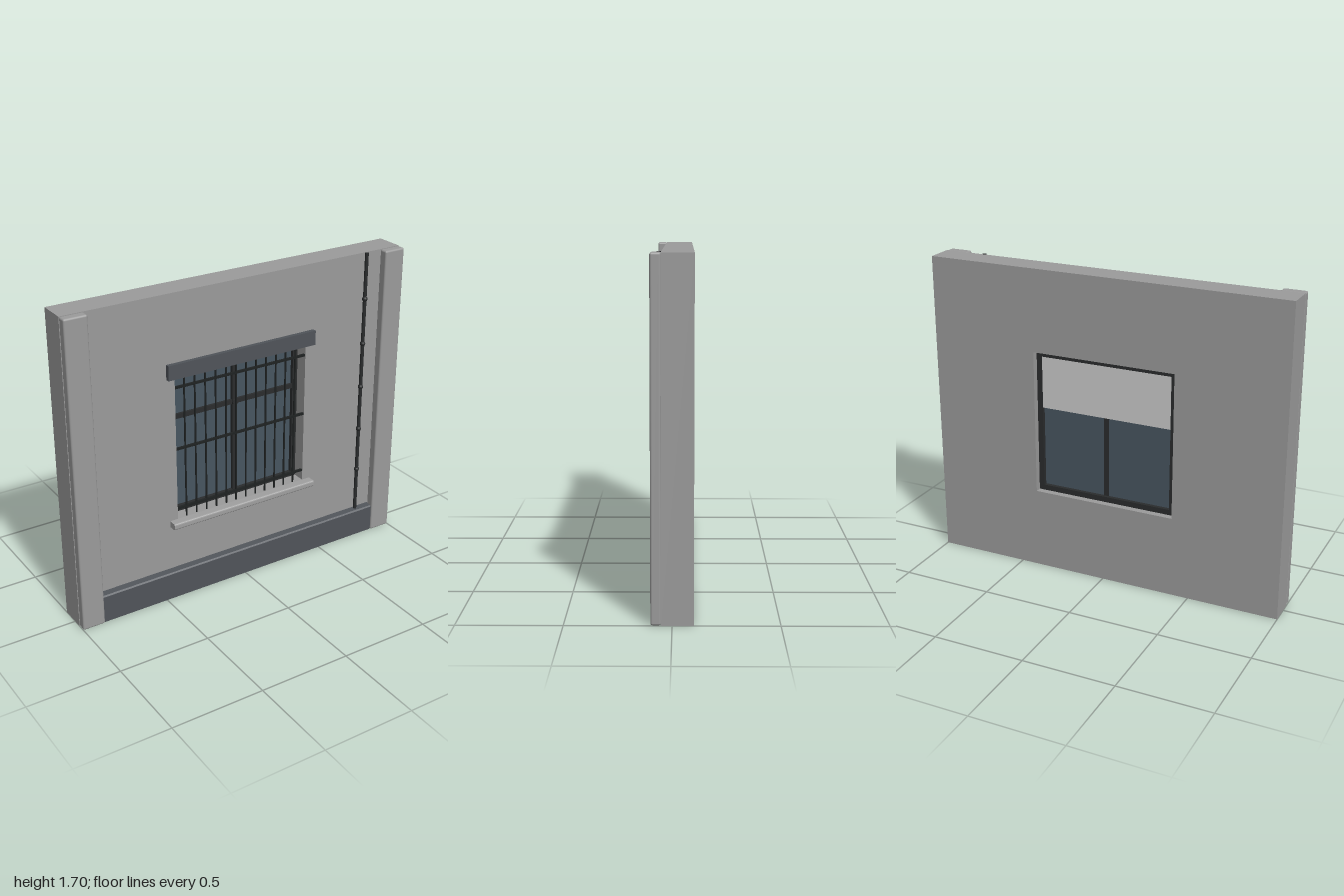
import * as THREE from 'three';
import { RoundedBoxGeometry } from 'three/addons/geometries/RoundedBoxGeometry.js';

const mat = (color) => new THREE.MeshStandardMaterial({ color });

export function createModel() {
  const model = new THREE.Group();
  const plaster = mat(0x9b9b9b);
  const stone = mat(0xa0a0a0);
  const slate = mat(0x50545a);
  const frameMat = mat(0x2a2c2d);
  const iron = mat(0x1f2222);
  const glassMat = mat(0x475560);
  const blindMat = mat(0xd2d2d2);

  const add = (name, geometry, material, x = 0, y = 0, z = 0, parent = model) => {
    const mesh = new THREE.Mesh(geometry, material);
    mesh.name = name;
    mesh.position.set(x, y, z);
    parent.add(mesh);
    return mesh;
  };
  const group = (name) => {
    const g = new THREE.Group();
    g.name = name;
    model.add(g);
    return g;
  };
  // Box given by its limits on each axis
  const box = (name, material, [x0, x1], [y0, y1], [z0, z1], parent) =>
    add(name, new THREE.BoxGeometry(x1 - x0, y1 - y0, z1 - z0), material,
      (x0 + x1) / 2, (y0 + y1) / 2, (z0 + z1) / 2, parent);
  // Profile of (z, y) points swept along x, centred on x = 0
  const sweep = (name, material, width, points) => {
    const shape = new THREE.Shape(points.map(([z, y]) => new THREE.Vector2(z, y)));
    const geometry = new THREE.ExtrudeGeometry(shape, { depth: width, bevelEnabled: false });
    geometry.translate(0, 0, -width / 2).rotateY(-Math.PI / 2);
    return add(name, geometry, material);
  };

  // Wall with the window opening cut through
  const wall = new THREE.Shape();
  wall.moveTo(-1, 0).lineTo(1, 0).lineTo(1, 1.7).lineTo(-1, 1.7).closePath();
  const opening = new THREE.Path();
  opening.moveTo(-0.4, 0.45).lineTo(-0.4, 1.25).lineTo(0.4, 1.25).lineTo(0.4, 0.45).closePath();
  wall.holes.push(opening);
  add('wall', new THREE.ExtrudeGeometry(wall, { depth: 0.15, bevelEnabled: false }), plaster, 0, 0, -0.1);

  // Corner pilasters with softened edges
  for (const [side, name] of [[-1, 'rightPilaster'], [1, 'leftPilaster']]) {
    add(name, new RoundedBoxGeometry(0.125, 1.7, 0.05, 2, 0.01), plaster, side * 0.9375, 0.85, 0.075);
  }

  // Plinth with a sloped top edge
  sweep('plinth', slate, 1.75, [[0.05, 0], [0.09, 0], [0.09, 0.15], [0.083, 0.157], [0.05, 0.162]]);

  // Lintel above the window
  box('lintel', slate, [-0.447, 0.447], [1.255, 1.335], [0.05, 0.073]);

  // Sill slab with a softened front edge
  const edge = [];
  for (const [cy, start] of [[0.424, -Math.PI / 2], [0.441, 0]]) {
    for (let i = 0; i <= 3; i++) {
      const a = start + (Math.PI / 6) * i;
      edge.push([0.088 + 0.009 * Math.cos(a), cy + 0.009 * Math.sin(a)]);
    }
  }
  sweep('sill', stone, 0.894, [[0.05, 0.415], ...edge, [0.05, 0.45]]);

  // Window frame, mullion, transom and panes
  const win = group('window');
  const depth = [-0.065, -0.02];
  for (const s of [-1, 1]) {
    box('frameSide', frameMat, s < 0 ? [-0.4, -0.37] : [0.37, 0.4], [0.45, 1.25], depth, win);
  }
  box('frameTop', frameMat, [-0.37, 0.37], [1.22, 1.25], depth, win);
  box('frameBottom', frameMat, [-0.37, 0.37], [0.45, 0.48], depth, win);
  box('mullion', frameMat, [-0.014, 0.014], [0.48, 1.22], [-0.049, -0.022], win);
  box('transom', frameMat, [-0.37, 0.37], [0.987, 1.013], [-0.049, -0.025], win);
  const knob = add('knob', new THREE.CylinderGeometry(0.016, 0.016, 0.01, 16), frameMat, 0, 1, -0.017, win);
  knob.rotation.x = Math.PI / 2;
  box('glass', glassMat, [-0.37, 0.37], [0.48, 1.22], [-0.045, -0.039], win);

  // Half-lowered blind on the inside
  box('blind', blindMat, [-0.37, 0.37], [0.932, 1.22], [-0.062, -0.055], win);

  // Security grille: uprights and cross rails
  const grille = group('grille');
  for (let i = 0; i < 12; i++) {
    add('grilleBar', new THREE.CylinderGeometry(0.005, 0.005, 0.8, 8), iron, (i - 5.5) * 0.062, 0.85, 0.04, grille);
  }
  for (const y of [0.508, 0.853, 1.196]) {
    box('grilleRail', iron, [-0.4, 0.4], [y - 0.006, y + 0.006], [0.034, 0.046], grille);
  }

  // Downpipe with clamps
  const pipe = group('downpipe');
  add('pipe', new THREE.CylinderGeometry(0.01, 0.01, 1.54, 12), frameMat, 0.775, 0.93, 0.063, pipe);
  for (let i = 0; i < 5; i++) {
    add('clamp', new THREE.SphereGeometry(0.015, 12, 8), frameMat, 0.775, 0.416 + i * 0.257, 0.063, pipe);
  }

  return model;
}
